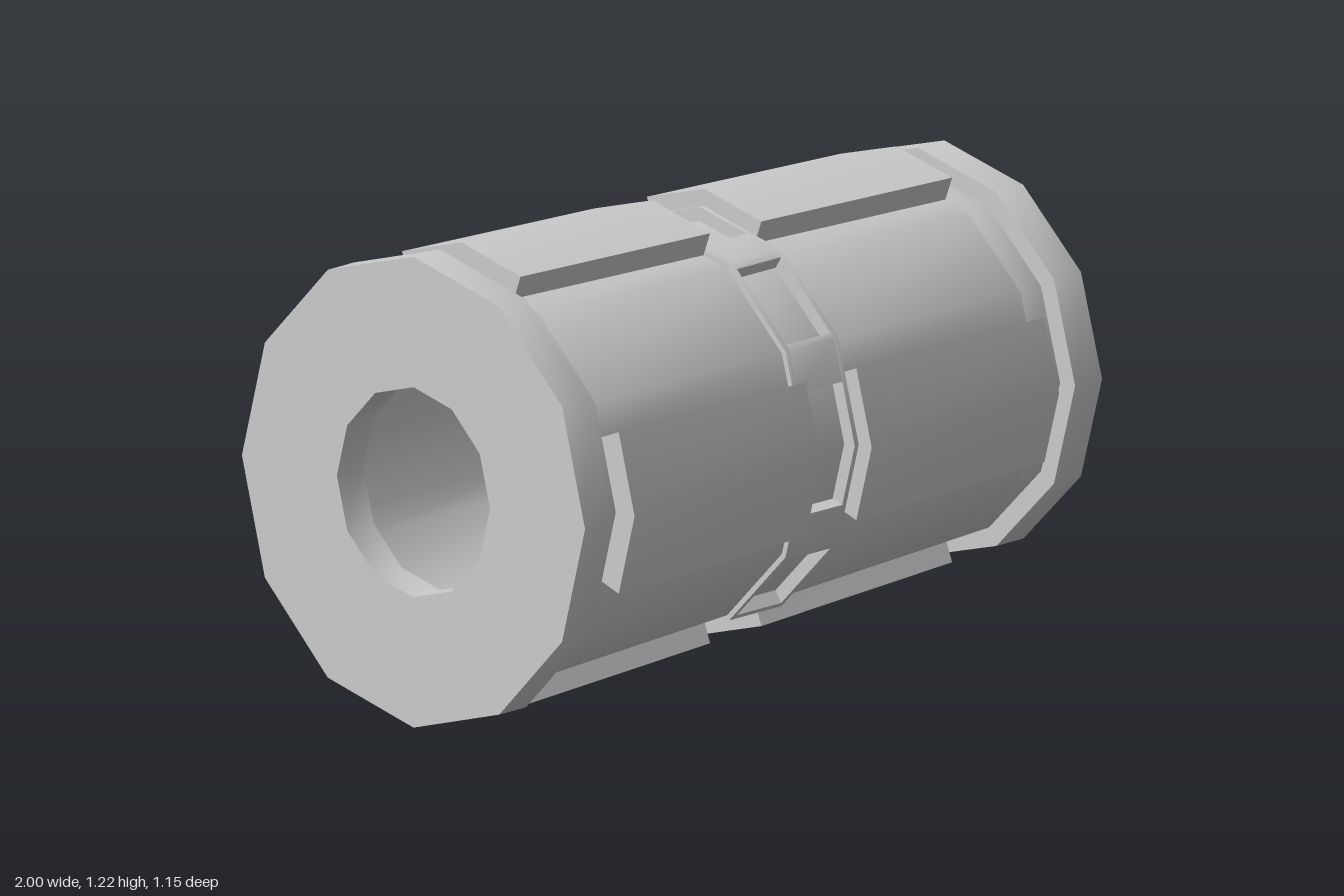
import * as THREE from 'three';
import { toCreasedNormals } from 'three/addons/utils/BufferGeometryUtils.js';

const CY = 0.615; // height of the long axis
const WALL = -0.11; // inner skin, measured from the tapered base radius
const mat = new THREE.MeshStandardMaterial({ color: 0xcccccc });

// Tapered, slightly flattened base shape
const base = (x) => 0.51 - 0.039 * x;
const squash = (x) => 0.97 + 0.028 * x;

// Point on the twelve-sided outline; angles between corners lie on the flat side
function point(x, r, deg) {
  const k = Math.floor(deg / 30 + 1e-6), t = deg / 30 - k;
  const corner = (i) => [Math.sin(i * Math.PI / 6), Math.cos(i * Math.PI / 6)];
  const [a, b] = [corner(k), corner(k + 1)];
  const y = a[0] + (b[0] - a[0]) * t, z = a[1] + (b[1] - a[1]) * t;
  return [x, CY + r * y, r * z * squash(x)];
}

// Closed curved block between two x positions and two angles
function slab(name, x0, x1, a0, a1, outer, inner) {
  const angles = [a0];
  for (let a = Math.floor(a0 / 30 + 1) * 30; a < a1 - 0.01; a += 30) angles.push(a);
  angles.push(a1);
  const loop = (a) => [
    point(x0, outer(x0), a), point(x1, outer(x1), a),
    point(x1, inner(x1), a), point(x0, inner(x0), a),
  ];
  const pos = [];
  const quad = (a, b, c, d) => pos.push(...a, ...b, ...c, ...a, ...c, ...d);
  for (let i = 0; i < angles.length - 1; i++) {
    const p = loop(angles[i]), q = loop(angles[i + 1]);
    for (let j = 0; j < 4; j++) {
      const n = (j + 1) % 4;
      quad(p[j], p[n], q[n], q[j]);
    }
  }
  if (a1 - a0 < 359.9) {
    const p = loop(a0), q = loop(a1);
    quad(p[3], p[2], p[1], p[0]);
    quad(q[0], q[1], q[2], q[3]);
  }
  const geo = new THREE.BufferGeometry();
  geo.setAttribute('position', new THREE.Float32BufferAttribute(pos, 3));
  const mesh = new THREE.Mesh(toCreasedNormals(geo, 0.62), mat);
  mesh.name = name;
  return mesh;
}

const off = (d) => (x) => base(x) + d;
const fixed = (r) => () => r;

export function createModel() {
  const model = new THREE.Group();
  model.name = 'taperedSleeve';
  const group = (name) => {
    const g = new THREE.Group();
    g.name = name;
    model.add(g);
    return g;
  };

  // End flanges: wide one with a small hole, narrow one with a large hole
  model.add(slab('wideFlange', -1, -0.9, 0, 360, fixed(0.605), fixed(0.27)));
  model.add(slab('narrowFlange', 0.9, 1, 0, 360, fixed(0.525), fixed(0.365)));

  // Tapered tube wall, with raised panels on four sides that are hollow behind
  const body = group('body'), panels = group('panels');
  body.add(slab('wideCollar', -0.9, -0.82, 0, 360, off(0), off(WALL)));
  body.add(slab('narrowCollar', 0.82, 0.9, 0, 360, off(0), off(WALL)));
  for (const [x0, x1] of [[-0.82, -0.1], [0.095, 0.82]]) {
    for (let a = 0; a < 360; a += 90) {
      body.add(slab('bodyWall', x0, x1, a + 20.5, a + 69.5, off(0), off(WALL)));
      panels.add(slab('raisedPanel', x0, x1, a - 20.5, a + 20.5, off(0.066), off(-0.045)));
    }
  }

  // Middle band: recessed floor, two rims and ribs that frame eight windows
  const band = group('middleBand');
  const top = fixed(0.528), floor = fixed(0.492);
  band.add(slab('bandFloor', -0.1, 0.095, 0, 360, floor, off(WALL)));
  band.add(slab('bandRim', -0.1, -0.085, 0, 360, top, floor));
  band.add(slab('bandRim', 0.08, 0.095, 0, 360, top, floor));
  for (let a = 0; a < 360; a += 90) {
    band.add(slab('bandRib', -0.085, 0.08, a + 18, a + 32, top, floor));
    band.add(slab('bandRib', -0.085, 0.08, a + 58, a + 72, top, floor));
  }
  return model;
}
